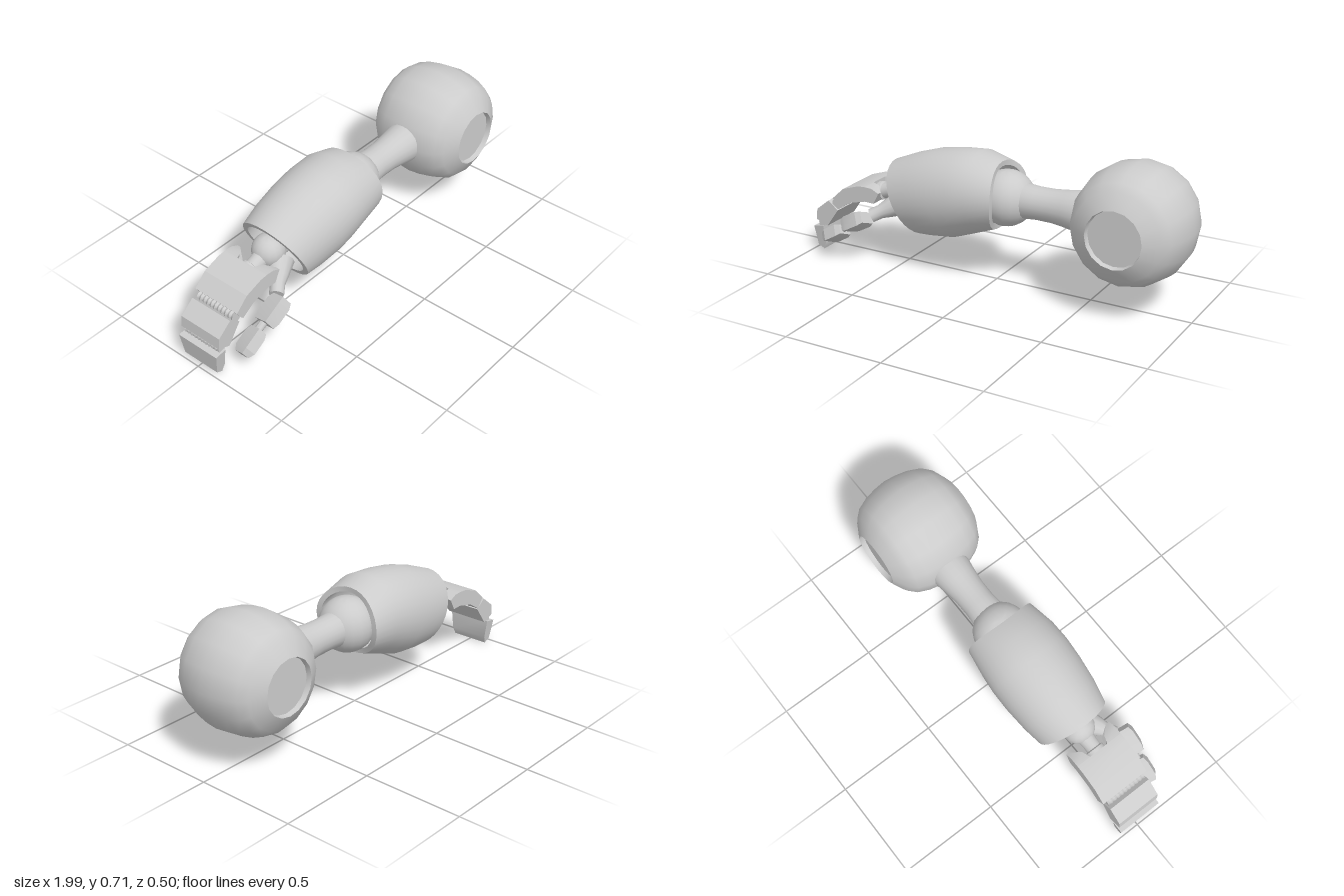
import * as THREE from 'three';
import { toCreasedNormals } from 'three/addons/utils/BufferGeometryUtils.js';

const grey = new THREE.MeshStandardMaterial({ color: 0xcccccc, side: THREE.DoubleSide });
const V = (x, y, z = 0) => new THREE.Vector3(x, y, z);
const UP = V(0, 1, 0);

function part(name, geometry, crease = 0.8) {
  const mesh = new THREE.Mesh(toCreasedNormals(geometry, crease), grey);
  mesh.name = name;
  return mesh;
}

const lathe = (points, sides) =>
  new THREE.LatheGeometry(points.map(([r, h]) => new THREE.Vector2(r, h)), sides);

// Turned part whose profile heights run from point a towards point b
function turned(name, points, a, b, sides = 16) {
  const mesh = part(name, lathe(points, sides));
  mesh.position.copy(a);
  mesh.quaternion.setFromUnitVectors(UP, b.clone().sub(a).normalize());
  return mesh;
}

// Side profile in x, y extruded from z0 to z1
function plate(name, points, z0, z1) {
  const shape = new THREE.Shape(points.map(([x, y]) => new THREE.Vector2(x, y)));
  const g = new THREE.ExtrudeGeometry(shape, { depth: z1 - z0, bevelEnabled: false });
  g.translate(0, 0, z0);
  return part(name, g, 0.4);
}

// Move every vertex by a rule
function bend(geometry, rule) {
  const p = geometry.attributes.position, v = V(0, 0, 0);
  for (let i = 0; i < p.count; i++) {
    v.fromBufferAttribute(p, i);
    rule(v);
    p.setXYZ(i, v.x, v.y, v.z);
  }
  return geometry;
}

// Hollow sleeve: rings given by a top point, a bottom point and a half width
function sleeve() {
  const rings = [
    [-0.565, 0.52, -0.39, 0.17, 0.18],
    [-0.45, 0.568, -0.32, 0.175, 0.198],
    [-0.32, 0.61, -0.2, 0.19, 0.21],
    [-0.2, 0.63, -0.12, 0.22, 0.213],
    [-0.08, 0.64, -0.06, 0.243, 0.207],
    [0.03, 0.605, 0.02, 0.275, 0.186],
  ];
  const path = [
    ...rings.map((r, i) => [r, 1, i === 5]),
    ...rings.map((r, i) => [r, 0.85, i === 5]).reverse(),
    [rings[0], 1, false],
  ];
  const sides = 32, pos = [], index = [];
  path.forEach(([[tx, ty, bx, by, w], s, rim], i) => {
    for (let j = 0; j <= sides; j++) {
      const t = (j / sides) * Math.PI * 2, c = Math.cos(t) * s, n = Math.sin(t);
      pos.push((tx + bx) / 2 + ((tx - bx) / 2) * c + (rim ? 0.037 * n * n : 0),
        (ty + by) / 2 + ((ty - by) / 2) * c, w * n * s);
      if (i < path.length - 1 && j < sides) {
        const a = i * (sides + 1) + j, b = a + sides + 1;
        index.push(a, a + 1, b, a + 1, b + 1, b);
      }
    }
  });
  const g = new THREE.BufferGeometry();
  g.setAttribute('position', new THREE.Float32BufferAttribute(pos, 3));
  g.setIndex(index);
  return part('forearmSleeve', g, 0.6);
}

// Ribbed hinge pin across the hand
function hinge(name, x, y, r, half) {
  const pts = [[0, -half]];
  for (let i = 0; i <= 20; i++) pts.push([i % 2 ? r * 0.8 : r, -half + (i / 20) * half * 2]);
  pts.push([0, half]);
  return turned(name, pts, V(x, y, 0.005), V(x, y, 1), 10);
}

// Tapered thumb block, pointing to -x before rotation
function thumbBlock(name, size, at, angle, roll, taper) {
  const g = bend(new THREE.BoxGeometry(...size, 3, 1, 1), (v) => {
    const end = Math.abs(v.x) > size[0] * 0.4;
    if (end) {
      const k = v.x < 0 ? taper : 0.8;
      v.y *= k;
      v.z *= k;
    } else v.x *= 1.7;
  });
  g.rotateX(roll);
  const mesh = part(name, g, 0.3);
  mesh.position.copy(at);
  mesh.rotation.z = angle;
  return mesh;
}

export function createModel() {
  const model = new THREE.Group();
  model.name = 'mechanicalArm';

  // Shoulder: flattened ball with a recessed disc on each side
  const half = [[0.285, 0], [0.279, 0.06], [0.266, 0.12], [0.243, 0.175], [0.21, 0.21],
    [0.137, 0.25], [0.132, 0.225], [0, 0.225]];
  const profile = [...half.slice(1).reverse().map(([r, h]) => [r, -h]), ...half];
  const shoulder = part('shoulder', lathe(profile, 16).rotateX(Math.PI / 2));
  shoulder.position.set(0.71, 0.43, 0);
  model.add(shoulder);

  // Upper arm and elbow ball
  model.add(turned('upperArm', [[0.075, 0.05], [0.085, 0.15], [0.079, 0.22], [0.08, 0.3],
    [0.088, 0.37], [0.098, 0.43], [0.098, 0.5]], V(0, 0.432), V(1, 0.432), 20));
  const elbow = part('elbow', new THREE.SphereGeometry(0.136, 20, 14));
  elbow.position.set(0.055, 0.43, 0);
  model.add(elbow);

  // Forearm with its inner core
  model.add(sleeve());
  model.add(turned('forearmCore', [[0.09, 0], [0.07, 0.2], [0.06, 0.52]],
    V(0, 0.43), V(-0.5, 0.37)));

  // Wrist ball and stepped pin
  const wrist = part('wrist', new THREE.SphereGeometry(0.08, 16, 12));
  wrist.position.set(-0.52, 0.37, 0);
  model.add(wrist);
  model.add(turned('wristPin', [[0.05, 0], [0.038, 0.09], [0.038, 0.12], [0.047, 0.125],
    [0.047, 0.16], [0.032, 0.165], [0.028, 0.22], [0, 0.22]], V(-0.52, 0.365), V(-0.72, 0.325)));

  // Palm: curved plate with two flared prongs around the wrist pin
  model.add(plate('palm', [[-0.67, 0.393], [-0.71, 0.39], [-0.8, 0.36], [-0.865, 0.3],
    [-0.83, 0.25], [-0.76, 0.295], [-0.67, 0.317]], -0.125, 0.13));
  for (const s of [-1, 1]) {
    const outer = s < 0 ? 0.125 : 0.13;
    const prong = plate('palmProng', [[-0.59, 0.372], [-0.63, 0.391], [-0.67, 0.393],
      [-0.67, 0.317], [-0.62, 0.315]], Math.min(s * 0.05, s * outer), Math.max(s * 0.05, s * outer));
    prong.geometry = toCreasedNormals(bend(prong.geometry, (v) => {
      if (Math.abs(v.z) < 0.06 && v.x > -0.65) v.z = s * (v.x > -0.6 ? 0.11 : 0.065);
    }), 0.4);
    model.add(prong);
  }

  // Broad finger in two segments
  model.add(hinge('knuckleHinge', -0.855, 0.265, 0.028, 0.108));
  model.add(plate('fingerMiddle', [[-0.9, 0.278], [-0.845, 0.235], [-0.913, 0.14],
    [-0.978, 0.165], [-0.972, 0.22]], -0.11, 0.12));
  model.add(hinge('fingertipHinge', -0.953, 0.142, 0.02, 0.105));
  const tip = plate('fingertip', [[-0.997, 0.125], [-0.94, 0.135], [-0.938, 0.04],
    [-0.952, 0.002], [-0.985, 0.02]], -0.115, 0.115);
  tip.geometry = toCreasedNormals(bend(tip.geometry, (v) => {
    v.z = v.z * (0.84 + 0.16 * Math.min(1, v.y / 0.125)) + 0.005;
  }), 0.4);
  model.add(tip);

  // Thumb: flared arm, base block, pin and tip block
  model.add(turned('thumbArm', [[0.065, 0], [0.045, 0.08], [0.034, 0.12], [0.034, 0.17],
    [0, 0.17]], V(-0.5, 0.32, 0.05), V(-0.64, 0.25, 0.15), 12));
  model.add(thumbBlock('thumbBase', [0.135, 0.07, 0.095], V(-0.69, 0.225, 0.178), 0.5, -0.4, 0.85));
  model.add(turned('thumbHinge', [[0, 0], [0.018, 0], [0.018, 0.1], [0, 0.1]],
    V(-0.72, 0.205, 0.172), V(-0.82, 0.14, 0.165), 10));
  model.add(thumbBlock('thumbTip', [0.13, 0.058, 0.088], V(-0.83, 0.13, 0.165), 0.52, -0.45, 0.7));
  return model;
}
